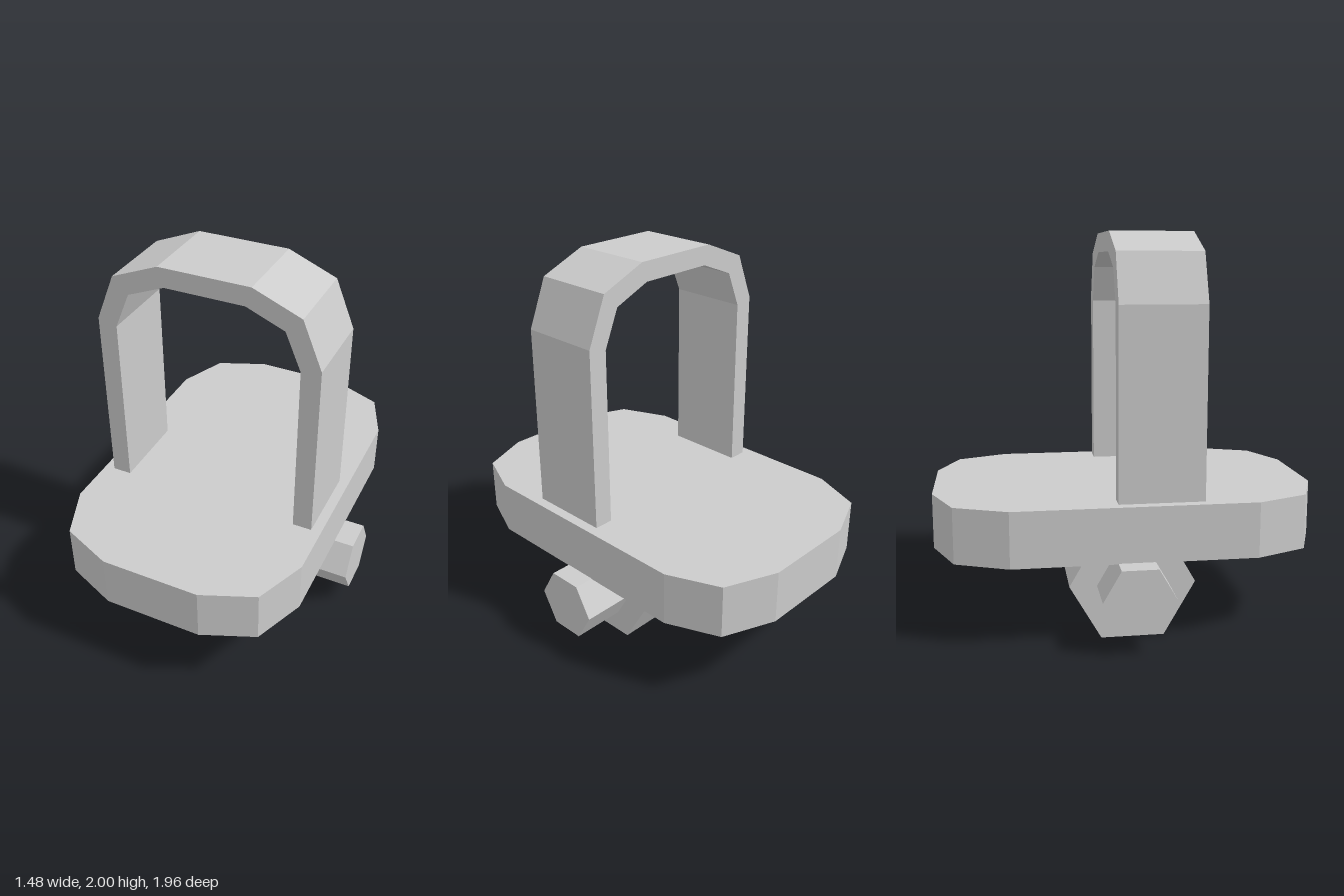
import * as THREE from 'three';

const material = new THREE.MeshStandardMaterial({ color: 0xcccccc, flatShading: true });

function addMesh(group, name, geometry, x = 0, y = 0, z = 0) {
  const mesh = new THREE.Mesh(geometry, material);
  mesh.name = name;
  mesh.position.set(x, y, z);
  group.add(mesh);
}

// Adds the points mirrored in x, in reverse order
const mirrorX = (pts) => [...pts, ...pts.map(([x, y]) => [-x, y]).reverse()];
const toVectors = (pts) => pts.map(([x, y]) => new THREE.Vector2(x, y));

function extrude(pts, depth) {
  return new THREE.ExtrudeGeometry(new THREE.Shape(toVectors(pts)), { depth, bevelEnabled: false });
}

// Six-sided bar along x, with corners pointing to front and back
function hexBar(radius, length) {
  return new THREE.CylinderGeometry(radius, radius, length, 6).rotateZ(Math.PI / 2);
}

export function createModel() {
  const model = new THREE.Group();
  model.name = 'archedHandleOnPlate';

  // Long plate with faceted round ends
  const corner = [[0.633, 0.605], [0.523, 0.87], [0.255, 0.98]];
  const end = mirrorX(corner);
  const outline = [...end, ...end.map(([x, y]) => [-x, -y])];
  addMesh(model, 'plate', extrude(outline, 0.28).rotateX(-Math.PI / 2), 0, 0.426);

  // Arch: outer edge up and over, then back along the inner edge
  const base = 0.65;
  const outer = mirrorX([[0.58, base], [0.58, 1.655], [0.48, 1.9], [0.235, 2]]);
  const inner = mirrorX([[0.48, base], [0.48, 1.63], [0.4, 1.82], [0.205, 1.9]]);
  addMesh(model, 'arch', extrude([...outer, ...inner.reverse()], 0.427), 0, 0, -0.082);

  // Hexagonal barrel and the thinner pin running through it
  const axisY = 0.274;
  addMesh(model, 'barrel', hexBar(0.316, 0.957), -0.023, axisY);
  addMesh(model, 'pin', hexBar(0.179, 1.476), 0, axisY);

  return model;
}
